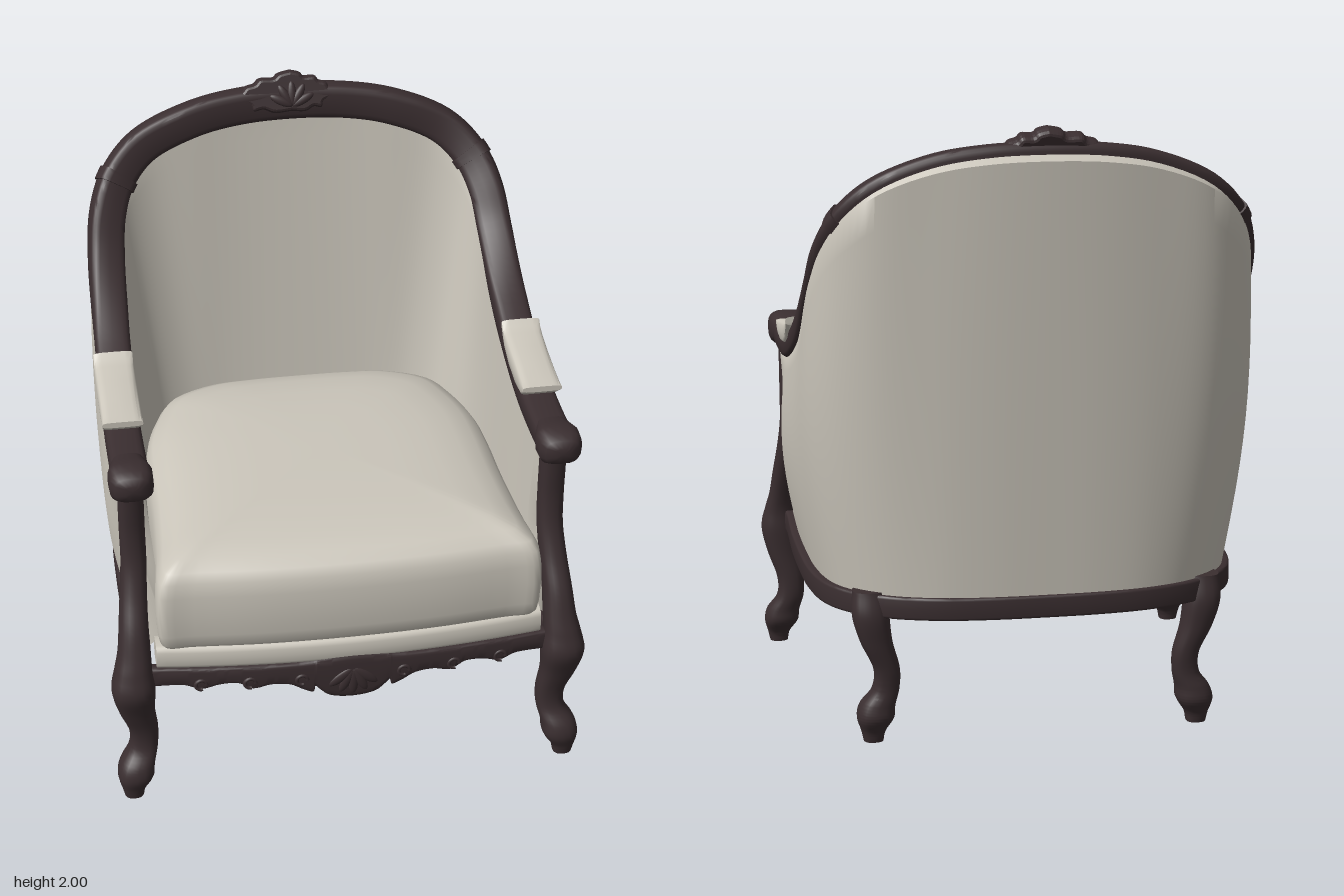
import * as THREE from 'three';
import { toCreasedNormals } from 'three/addons/utils/BufferGeometryUtils.js';

const V = (x, y, z) => new THREE.Vector3(x, y, z);
const wood = new THREE.MeshStandardMaterial({ color: 0x3a2e30 });
wood.name = 'dark wood';
const fabric = new THREE.MeshStandardMaterial({ color: 0xcbc6bb, side: THREE.DoubleSide });
fabric.name = 'pale upholstery';

// Skin a list of rings, cap both ends and orient the faces outward; open leaves a slot along the last edge
function loft(rings, crease = 0.7, open = false) {
  const n = rings[0].length, pts = rings.flat(), idx = [];
  for (let i = 0; i < rings.length - 1; i++) {
    for (let j = 0; j < (open ? n - 1 : n); j++) {
      const a = i * n + j, b = i * n + (j + 1) % n;
      idx.push(a, b, a + n, b, b + n, a + n);
    }
  }
  const cap = (ring, start, flip) => {
    const c = ring.reduce((s, p) => s.add(p), V(0, 0, 0)).divideScalar(n);
    pts.push(c);
    for (let j = 0; j < n; j++) {
      const a = start + j, b = start + (j + 1) % n;
      idx.push(pts.length - 1, flip ? b : a, flip ? a : b);
    }
  };
  cap(rings[0], 0, true);
  cap(rings[rings.length - 1], (rings.length - 1) * n, false);
  let volume = 0;
  for (let i = 0; i < idx.length; i += 3) {
    volume += pts[idx[i]].dot(pts[idx[i + 1]].clone().cross(pts[idx[i + 2]]));
  }
  if (volume < 0) idx.reverse();
  const g = new THREE.BufferGeometry().setFromPoints(pts);
  g.setIndex(idx);
  return toCreasedNormals(g, crease);
}

// Rounded-square ring around c in the plane of directions a and b
function ring(c, a, b, ra, rb, power = 0.5, n = 20) {
  const soft = (v) => Math.sign(v) * Math.abs(v) ** power;
  return Array.from({ length: n }, (_, i) => {
    const t = (i / n) * Math.PI * 2;
    return c.clone().addScaledVector(a, ra * soft(Math.cos(t))).addScaledVector(b, rb * soft(Math.sin(t)));
  });
}

const X = V(1, 0, 0), Y = V(0, 1, 0), Z = V(0, 0, 1);
const mirrored = (half) => half.concat(half.slice(0, -1).reverse().map((p) => V(-p.x, p.y, p.z)));
const spline = (pts, closed = false) => new THREE.CatmullRomCurve3(pts, closed, 'centripetal');
const plan = (pairs, y) => pairs.map(([x, z]) => V(x, y, z));

// Centre line of the arm and crest rail, left half
const railHalf = [
  [0.688, 1.18, 0.58], [0.688, 1.17, 0.44], [0.688, 1.178, 0.22], [0.685, 1.24, 0], [0.68, 1.34, -0.2],
  [0.672, 1.485, -0.38], [0.655, 1.6, -0.465], [0.612, 1.695, -0.533], [0.52, 1.785, -0.587],
  [0.35, 1.856, -0.616], [0.19, 1.884, -0.635], [0, 1.892, -0.642],
].map((p) => V(...p));
const rail = spline(mirrored(railHalf));

// Position, outward direction and backward direction on a rail curve
function railFrame(curve, u) {
  const p = curve.getPoint(u), t = curve.getTangent(u);
  const w = V(p.x / 0.46, Math.max(0, p.y - 1.3) / 0.35, 0);
  w.addScaledVector(t, -w.dot(t)).normalize();
  return { p, w, n: t.clone().cross(w) };
}
function railSweep(u0, u1, steps, rw, rn) {
  const rings = [];
  for (let i = 0; i <= steps; i++) {
    const { p, w, n } = railFrame(rail, u0 + ((u1 - u0) * i) / steps);
    rings.push(ring(p, w, n, rw, rn));
  }
  return loft(rings);
}

const outerPlan = [[0.685, 0.55], [0.695, 0.25], [0.695, 0.02], [0.688, -0.18], [0.664, -0.34], [0.628, -0.43],
  [0.563, -0.51], [0.475, -0.57], [0.34, -0.617], [0.18, -0.638], [0, -0.642]];
const innerPlan = [[0.6, 0.55], [0.595, 0.25], [0.592, 0.02], [0.575, -0.16], [0.545, -0.28], [0.51, -0.36],
  [0.465, -0.435], [0.38, -0.485], [0.28, -0.51], [0.15, -0.522], [0, -0.525]];

// Padded tub back: inner and outer skins rising from the seat to the rail, open underneath
function shellGeometry() {
  const top = spline(mirrored(railHalf.slice(1)));
  const outer = spline(mirrored(plan(outerPlan, 0.5)));
  const inner = spline(mirrored(plan(innerPlan, 0.58)));
  const rings = [], steps = 100, rows = 12;
  for (let i = 0; i <= steps; i++) {
    const u = i / steps, { p, w, n } = railFrame(top, u);
    // The front edge tucks back behind the curved post, the sides swell behind it
    const behind = Math.min(1, Math.min(u, 1 - u) / 0.05);
    const skin = (base, end, bulge) => Array.from({ length: rows + 1 }, (_, k) => {
      const q = base.clone().lerp(end, k / rows), s = Math.sin((Math.PI * k) / rows);
      q.x *= 1 + bulge * behind * s;
      q.z -= 0.03 * (1 - behind) * s;
      return q;
    });
    const rise = Math.max(0, (p.y - 1.5) / 0.4);
    const inTop = p.clone().addScaledVector(w, -0.04).addScaledVector(n, 0.02);
    const outTop = p.clone().addScaledVector(w, 0.045 - 0.04 * rise).addScaledVector(n, 0.035);
    const crown = p.clone().addScaledVector(w, 0.035).addScaledVector(n, 0.025);
    outTop.z -= 0.035 * rise;
    const foot = outer.getPoint(u);
    foot.z *= foot.z < 0 ? 1.02 : 1;
    rings.push([...skin(inner.getPoint(u), inTop, 0), crown, ...skin(foot, outTop, 0.05).reverse()]);
  }
  return loft(rings, 0.9, true);
}

// Upright member from rows of [x, y, z, radiusX, radiusZ]
function legGeometry(rows, side) {
  const centre = new THREE.CatmullRomCurve3(rows.map((r) => V(r[0] * side, r[1], r[2])), false, 'catmullrom');
  const size = new THREE.CatmullRomCurve3(rows.map((r) => V(r[3], r[4], 0)), false, 'catmullrom');
  const rings = [];
  for (let i = 0; i <= 70; i++) {
    const s = size.getPoint(i / 70);
    rings.push(ring(centre.getPoint(i / 70), X, Z, s.x, s.y, 0.8));
  }
  return loft(rings);
}
const frontLeg = [[0.69, 1.16, 0.495, 0.042, 0.05], [0.69, 1.05, 0.49, 0.042, 0.046], [0.69, 0.95, 0.488, 0.042, 0.044],
  [0.69, 0.85, 0.497, 0.042, 0.048], [0.697, 0.75, 0.527, 0.044, 0.056], [0.705, 0.65, 0.575, 0.048, 0.062],
  [0.71, 0.56, 0.612, 0.054, 0.06], [0.717, 0.5, 0.632, 0.062, 0.062], [0.72, 0.43, 0.642, 0.072, 0.07],
  [0.712, 0.34, 0.63, 0.06, 0.055], [0.692, 0.25, 0.617, 0.049, 0.045], [0.694, 0.18, 0.618, 0.048, 0.046],
  [0.718, 0.125, 0.638, 0.058, 0.06], [0.726, 0.08, 0.645, 0.06, 0.063], [0.735, 0.035, 0.655, 0.04, 0.04], [0.735, 0, 0.655, 0.032, 0.032]];
const backLeg = [[0.55, 0.512, -0.515, 0.055, 0.05], [0.548, 0.43, -0.525, 0.06, 0.06], [0.53, 0.34, -0.525, 0.052, 0.053],
  [0.498, 0.25, -0.52, 0.043, 0.045], [0.5, 0.18, -0.512, 0.044, 0.046], [0.525, 0.125, -0.502, 0.057, 0.062],
  [0.533, 0.08, -0.5, 0.06, 0.066], [0.54, 0.035, -0.5, 0.04, 0.042], [0.54, 0, -0.5, 0.032, 0.033]];

const seatPlan = [[0, 0.692], [0.3, 0.684], [0.53, 0.664], [0.615, 0.66], [0.628, 0.635], [0.612, 0.45], [0.598, 0.2], [0.594, 0],
  [0.58, -0.17], [0.535, -0.32], [0.475, -0.435], [0.33, -0.51], [0.18, -0.527], [0, -0.53]];
// Stack of scaled seat outlines, rows of [height, scale]
function seatGeometry(rows) {
  const half = plan(seatPlan, 0);
  const loop = half.concat(half.slice(1, -1).reverse().map((p) => V(-p.x, 0, p.z)));
  const outline = spline(loop, true).getPoints(96).slice(0, 96);
  return loft(rows.map(([y, s]) => outline.map((p) => V(p.x * s, y, 0.08 + (p.z - 0.08) * s))), 0.8);
}

// Forward bow of the seat front
const bow = (x) => 0.05 * (1 - (x / 0.65) ** 2);
const apronEdge = [[0, 0.35], [0.04, 0.353], [0.08, 0.364], [0.105, 0.385], [0.125, 0.405], [0.132, 0.382], [0.165, 0.395],
  [0.21, 0.42], [0.27, 0.425], [0.33, 0.412], [0.38, 0.438], [0.44, 0.435], [0.5, 0.418], [0.56, 0.437], [0.66, 0.432]];

export function createModel() {
  const model = new THREE.Group();
  const add = (name, geometry, material, parent = model) => {
    const mesh = new THREE.Mesh(geometry, material);
    mesh.name = name;
    parent.add(mesh);
    return mesh;
  };

  // Upholstery
  add('tubBack', shellGeometry(), fabric);
  add('seatCushion', seatGeometry([[0.585, 0.98], [0.6, 0.995], [0.64, 1.005], [0.72, 1.01], [0.79, 1.005], [0.84, 0.992],
    [0.87, 0.96], [0.895, 0.89], [0.915, 0.78], [0.928, 0.62], [0.936, 0.4], [0.938, 0.05]]), fabric);
  const band = [];
  for (let i = -20; i <= 20; i++) band.push(ring(V(i * 0.032, 0.542, 0.6 + bow(i * 0.032)), Y, Z, 0.044, 0.046));
  add('seatFrontBand', loft(band), fabric);

  // Arm and crest rail
  add('armAndCrestRail', railSweep(0, 1, 140, 0.06, 0.043), wood);

  // Seat rail following the tub
  const base = spline(plan([[0.69, 0.61]], 0.468).concat(mirrored(plan(outerPlan, 0.468)), plan([[-0.69, 0.61]], 0.468)));
  const baseRings = [];
  for (let i = 0; i <= 90; i++) {
    const t = base.getTangent(i / 90);
    baseRings.push(ring(base.getPoint(i / 90), V(-t.z, 0, t.x), Y, 0.026, 0.037, 0.25));
  }
  add('seatRail', loft(baseRings), wood);

  for (const side of [1, -1]) {
    const label = side > 0 ? 'left' : 'right';
    add(label + 'FrontLegAndPost', legGeometry(frontLeg, side), wood);
    add(label + 'BackLeg', legGeometry(backLeg, side), wood);

    // Rounded hand rest
    const rest = [[0.45, 0.05, 0.04], [0.49, 0.062, 0.048], [0.53, 0.072, 0.059], [0.58, 0.07, 0.057], [0.605, 0.056, 0.043], [0.618, 0.025, 0.02]];
    add(label + 'HandRest', loft(rest.map(([z, rx, ry]) => ring(V(0.69 * side, 1.183, z), X, Y, rx, ry, 0.65)), 1), wood);

    // Collar on the shoulder of the rail
    const u = side > 0 ? 6.95 / 22 : 1 - 6.95 / 22;
    add(label + 'Collar', railSweep(u - 0.007, u + 0.007, 4, 0.066, 0.05), wood);

    // Arm pad, rows of [z, bottom, top]
    const pad = [[0.315, 1.235, 1.255], [0.28, 1.205, 1.26], [0.2, 1.192, 1.272], [0.1, 1.205, 1.285],
      [0.03, 1.235, 1.295], [0, 1.265, 1.303], [-0.02, 1.29, 1.32]];
    add(label + 'ArmPad', loft(pad.map(([z, lo, hi]) => ring(V(0.69 * side, (lo + hi) / 2, z), X, Y, 0.066, (hi - lo) / 2, 0.45))), fabric);
  }

  // Scalloped front apron, bowed forward
  const edge = new THREE.SplineCurve(apronEdge.map(([x, y]) => new THREE.Vector2(x, y))).getPoints(70);
  const edges = edge.slice(1).reverse().map((p) => new THREE.Vector2(-p.x, p.y)).concat(edge);
  add('frontApron', loft(edges.map(({ x, y }) => {
    const top = 0.503 + 0.018 * Math.exp(-((x / 0.13) ** 2));
    return ring(V(x, (top + y) / 2, 0.63 + bow(x)), Y, Z, (top - y) / 2, 0.022, 0.4);
  })), wood);

  // Apron carving: scrolls and a shallow fan of ribs
  const carvings = new THREE.Group();
  carvings.name = 'apronCarving';
  model.add(carvings);
  for (const x of [-0.5, -0.34, -0.17, 0.17, 0.34, 0.5]) {
    add('scroll', new THREE.TorusGeometry(0.018, 0.007, 8, 20, 5), wood, carvings).position.set(x, 0.44, 0.65 + bow(x));
  }
  const rib = (parent, x, y, z, angle, length, r) => {
    const mesh = add('rib', new THREE.SphereGeometry(1, 14, 10), wood, parent);
    mesh.scale.set(r, length, 0.01);
    mesh.position.set(x + Math.sin(angle) * length, y + Math.cos(angle) * length, z);
    mesh.rotation.z = -angle;
  };
  for (let i = -2; i <= 2; i++) rib(carvings, 0, 0.47, 0.698, Math.PI + i * 0.45, 0.052, 0.018);

  // Crest ornament leaning back with the rail, its leaf trailing further to one side
  const crest = new THREE.Group();
  crest.name = 'crestOrnament';
  crest.position.set(0, 1.885, -0.618);
  crest.rotation.x = -0.35;
  model.add(crest);
  const leafHalf = [[0, 0.116], [0.03, 0.108], [0.045, 0.094], [0.08, 0.094], [0.095, 0.078], [0.118, 0.07], [0.13, 0.054],
    [0.15, 0.036], [0.135, 0.02], [0.11, 0.01], [0.1, -0.01], [0.075, -0.006], [0.045, -0.02], [0, -0.016]];
  const leaf = new THREE.SplineCurve(leafHalf.map(([x, y]) => new THREE.Vector2(x, y))).getPoints(56);
  const outline = leaf.concat(leaf.slice(1, -1).reverse().map((p) => new THREE.Vector2(-1.3 * p.x, p.y)));
  const leafGeometry = new THREE.ExtrudeGeometry(new THREE.Shape(outline), {
    depth: 0.012, bevelEnabled: true, bevelSize: 0.014, bevelThickness: 0.028, bevelOffset: -0.01, bevelSegments: 3,
  });
  add('crestLeaf', leafGeometry, wood, crest).position.z = -0.008;
  for (let i = -2; i <= 2; i++) rib(crest, 0, 0, 0.032, i * 0.55, 0.042, 0.015);

  return model;
}
